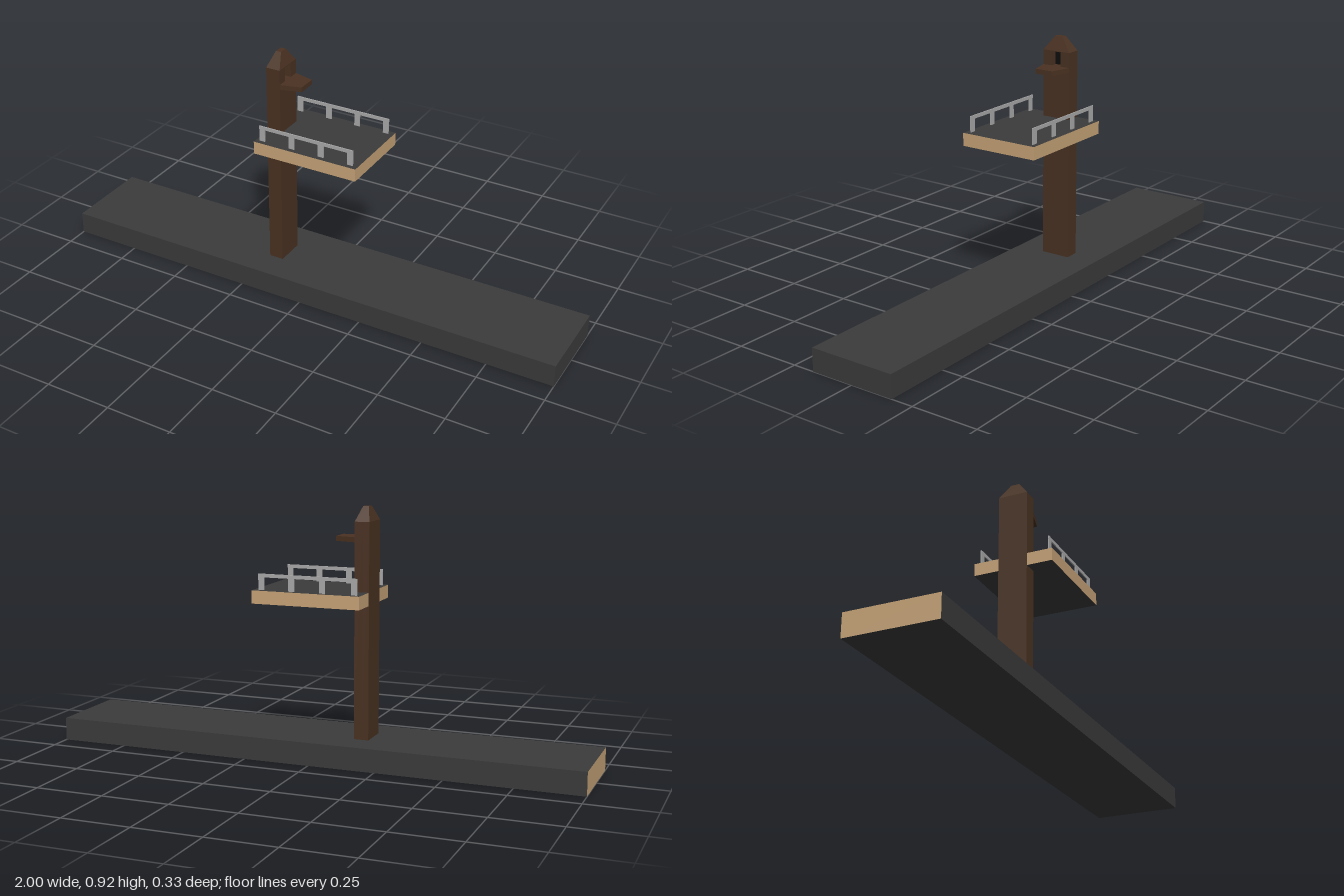
import * as THREE from 'three';

const mat = (color) => new THREE.MeshStandardMaterial({ color, flatShading: true });

export function createModel() {
  const model = new THREE.Group();
  const asphalt = mat(0x3b3b3b), wood = mat(0x4a3222), tan = mat(0xc8a478);
  const black = mat(0x0e0e0e), metal = mat(0xaaaaaa);

  const add = (name, geometry, material, parent = model) => {
    const mesh = new THREE.Mesh(geometry, material);
    mesh.name = name;
    parent.add(mesh);
    return mesh;
  };
  // box given by its minimum and maximum on each axis
  const box = (name, [x0, x1], [y0, y1], [z0, z1], material, parent) => {
    const mesh = add(name, new THREE.BoxGeometry(x1 - x0, y1 - y0, z1 - z0), material, parent);
    mesh.position.set((x0 + x1) / 2, (y0 + y1) / 2, (z0 + z1) / 2);
    return mesh;
  };
  const polygon = (points) => new THREE.Shape(points.map(([x, y]) => new THREE.Vector2(x, y)));

  // long ground slab with one pale end
  box('groundSlab', [-1, 1], [0, 0.085], [-0.167, 0.167],
    [asphalt, tan, asphalt, asphalt, asphalt, asphalt]);

  // tower: back half solid, front half with a window opening
  const tower = new THREE.Group();
  tower.name = 'tower';
  model.add(tower);
  const x0 = -0.19, x1 = -0.135, xMid = -0.165, w = 0.056, eaves = 0.87;
  box('towerBack', [x0, xMid], [0.085, eaves], [-w, w], wood, tower);
  const wall = polygon([[-w, 0.085], [w, 0.085], [w, eaves], [-w, eaves]]);
  wall.holes.push(polygon([[-0.02, 0.815], [-0.02, 0.868], [0.02, 0.868], [0.02, 0.815]]));
  const front = new THREE.ExtrudeGeometry(wall, { depth: x1 - xMid, bevelEnabled: false });
  front.rotateY(Math.PI / 2).translate(xMid, 0, 0);
  add('towerFront', front, wood, tower);
  box('windowBacking', [xMid, xMid + 0.004], [0.815, 0.868], [-0.02, 0.02], black, tower);

  // tapered cap: a box with its top corners drawn in
  const cap = new THREE.BoxGeometry(x1 - x0, 0.052, 2 * w);
  const p = cap.attributes.position;
  for (let i = 0; i < p.count; i++) {
    if (p.getY(i) > 0) {
      p.setX(i, p.getX(i) * 0.38);
      p.setZ(i, p.getZ(i) * 0.29);
    }
  }
  cap.computeVertexNormals();
  add('towerCap', cap, wood, tower).position.set((x0 + x1) / 2, eaves + 0.026, 0);

  // small balcony narrowing away from the window
  const ledge = new THREE.ExtrudeGeometry(
    polygon([[x1, -w], [-0.058, -0.036], [-0.058, 0.036], [x1, w]]),
    { depth: 0.018, bevelEnabled: false });
  ledge.rotateX(-Math.PI / 2).translate(0, 0.797, 0);
  add('balcony', ledge, wood, tower);

  // platform with dark top and underside
  box('platform', [-0.188, 0.22], [0.573, 0.621], [-0.153, 0.153],
    [tan, tan, asphalt, asphalt, tan, tan]);

  // a railing along each side
  for (const side of [1, -1]) {
    const railing = new THREE.Group();
    railing.name = side > 0 ? 'frontRailing' : 'backRailing';
    model.add(railing);
    const z = [side * 0.134 - 0.002, side * 0.134 + 0.002];
    box('handrail', [-0.175, 0.202], [0.667, 0.68], z, metal, railing);
    for (const x of [-0.163, -0.043, 0.074, 0.19]) {
      box('railPost', [x - 0.011, x + 0.011], [0.621, 0.667], z, metal, railing);
    }
  }
  return model;
}
